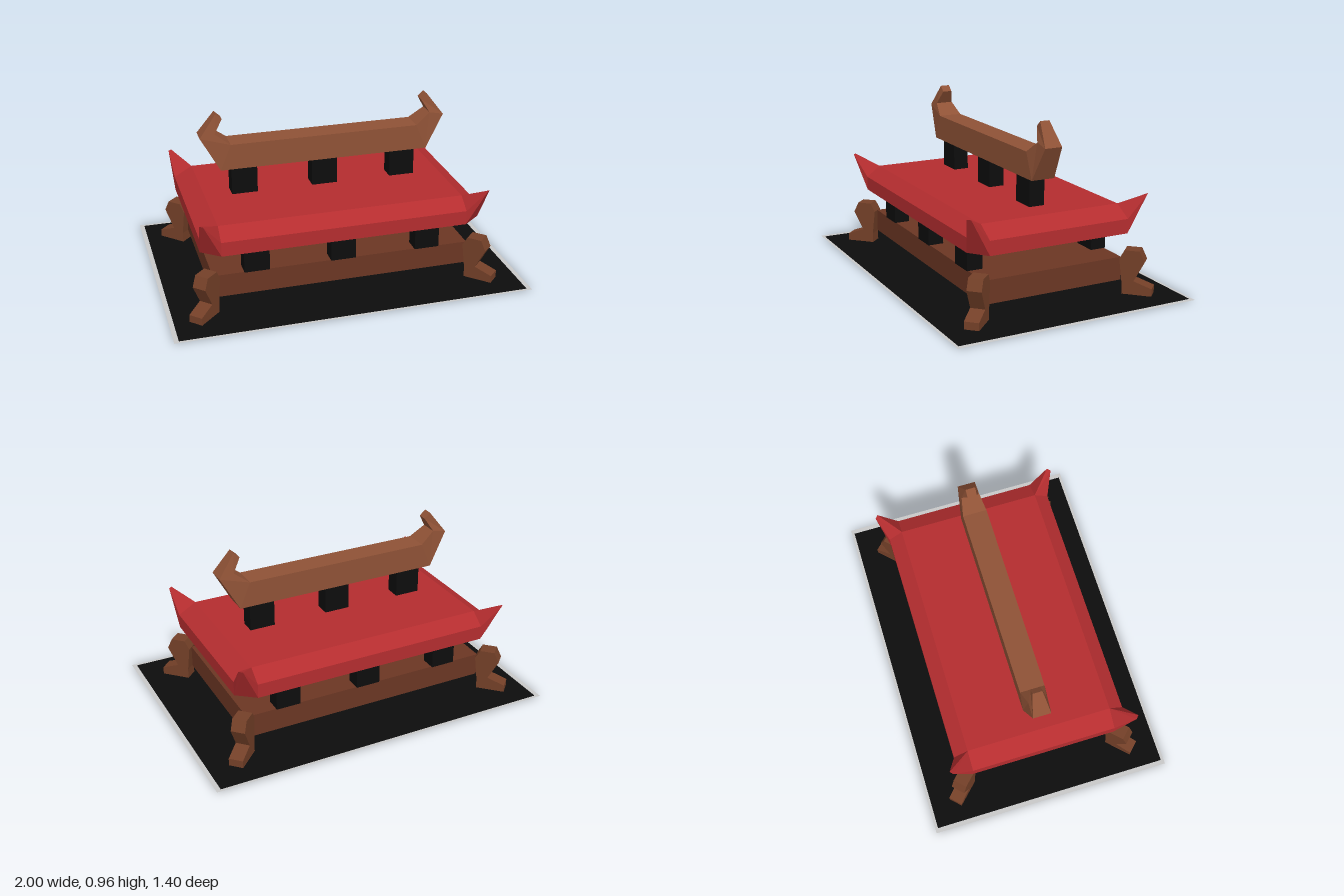
import * as THREE from 'three';

const mat = (name, color, extra = {}) => {
  const m = new THREE.MeshStandardMaterial({ color, flatShading: true, ...extra });
  m.name = name;
  return m;
};

// Flat-faced geometry from convex polygons, each a list of [x, y, z] corners
function polyGeometry(faces) {
  const pos = [];
  for (const f of faces)
    for (let i = 1; i < f.length - 1; i++) pos.push(...f[0], ...f[i], ...f[i + 1]);
  const g = new THREE.BufferGeometry();
  g.setAttribute('position', new THREE.Float32BufferAttribute(pos, 3));
  g.computeVertexNormals();
  return g;
}

// One quarter of the roof, mirrored into all four quadrants
function roofGeometry() {
  const X = 0.685, XO = 0.787, Z = 0.41, ZO = 0.49;
  const top = 0.49, mid = 0.43, low = 0.35;
  const inner = [X, top, Z], frontTop = [0, top, Z], sideTop = [X, top, 0];
  const a0 = [0, mid, ZO], a = [X, mid, ZO], b0 = [0, low, ZO], b = [X, low, ZO];
  const c0 = [XO, mid, 0], c = [XO, mid, Z], d0 = [XO, low, 0], d = [XO, low, Z];
  const t1 = [0.782, 0.555, 0.537], t2 = [0.8, 0.555, 0.52];
  const quarter = [
    [[0, top, 0], frontTop, inner, sideTop],
    [a0, a, inner, frontTop], [b0, b, a, a0],          // long eave
    [c, c0, sideTop, inner], [d, d0, c0, c],           // short eave
    [[0, low, 0], d0, d, b, b0],                       // underside
    [b, d, t2, t1], [b, t1, a], [a, t1, inner],        // upturned corner
    [d, c, t2], [c, inner, t2], [inner, t1, t2],
  ];
  const faces = [];
  for (const sx of [1, -1]) for (const sz of [1, -1])
    for (const f of quarter) {
      const m = f.map(([x, y, z]) => [x * sx, y, z * sz]);
      faces.push(sx * sz < 0 ? m.reverse() : m);
    }
  return polyGeometry(faces);
}

// Ridge beam with a hooked, tapering horn at each end
function ridgeGeometry() {
  // outer x, outer y, inner x, inner y, half depth
  const half = [
    [0.595, 0.65, 0.535, 0.795, 0.068],
    [0.7, 0.84, 0.618, 0.858, 0.05],
    [0.606, 0.965, 0.572, 0.934, 0.027],
  ];
  const ring = ([ox, oy, ix, iy, h], s) =>
    [[s * ox, oy, h], [s * ix, iy, h], [s * ix, iy, -h], [s * ox, oy, -h]];
  const rings = [...half.slice().reverse().map(p => ring(p, -1)), ...half.map(p => ring(p, 1))];
  const faces = [rings[0], rings[rings.length - 1].slice().reverse()];
  for (let i = 0; i < rings.length - 1; i++)
    for (let k = 0; k < 4; k++) {
      const n = (k + 1) % 4;
      faces.push([rings[i][k], rings[i + 1][k], rings[i + 1][n], rings[i][n]]);
    }
  return polyGeometry(faces);
}

// Side profile of a corner foot, running inward from its toe
function footGeometry() {
  const profile = [[0, 0.003], [0, 0.045], [0.07, 0.08], [0.03, 0.19], [0.05, 0.25],
    [0.108, 0.25], [0.127, 0.2], [0.115, 0.06], [0.115, 0.003]];
  const shape = new THREE.Shape(profile.map(([t, y]) => new THREE.Vector2(-t * Math.SQRT2, y)));
  const w = 0.08;
  return new THREE.ExtrudeGeometry(shape, { depth: w, bevelEnabled: false }).translate(0, 0, -w / 2);
}

export function createModel() {
  const red = mat('roof red', 0xb42d2f);
  const lightBrown = mat('ridge brown', 0x8f5236);
  const footBrown = mat('foot brown', 0x744028);
  const darkBrown = mat('base brown', 0x6b3623);
  const black = mat('black', 0x0d0d0d, { side: THREE.DoubleSide });
  const grey = mat('border grey', 0xc8c8c8, { side: THREE.DoubleSide });

  const model = new THREE.Group();
  model.name = 'pavilion';
  const add = (parent, name, geo, material, x = 0, y = 0, z = 0) => {
    const m = new THREE.Mesh(geo, material);
    m.name = name;
    m.position.set(x, y, z);
    parent.add(m);
    return m;
  };

  // Ground sheet with a thin border
  const rect = (P, w, h) => new P([[-w, -h], [w, -h], [w, h], [-w, h]].map(p => new THREE.Vector2(...p)));
  const border = rect(THREE.Shape, 1, 0.7);
  border.holes.push(rect(THREE.Path, 0.974, 0.684));
  add(model, 'groundBorder', new THREE.ShapeGeometry(border).rotateX(-Math.PI / 2), grey);
  add(model, 'groundSheet', new THREE.PlaneGeometry(1.948, 1.368).rotateX(-Math.PI / 2), black);

  const building = new THREE.Group();
  building.name = 'building';
  building.position.x = -0.0145;
  model.add(building);

  // Base and its four diagonal feet
  add(building, 'base', new THREE.BoxGeometry(1.45, 0.13, 0.834), darkBrown, 0, 0.135, 0);
  const foot = footGeometry();
  for (const sx of [1, -1]) for (const sz of [1, -1])
    add(building, 'foot', foot, footBrown, sx * 0.847, 0, sz * 0.545)
      .rotation.y = Math.atan2(-sz, sx);

  // Pillars below the roof and below the ridge
  const lower = new THREE.BoxGeometry(0.14, 0.15, 0.09);
  const upper = new THREE.BoxGeometry(0.145, 0.16, 0.09);
  for (const i of [-1, 0, 1]) {
    for (const sz of [1, -1]) add(building, 'lowerPillar', lower, black, i * 0.484, 0.275, sz * 0.38);
    add(building, 'upperPillar', upper, black, i * 0.46, 0.57, 0);
  }

  add(building, 'roof', roofGeometry(), red);
  add(building, 'ridgeBeam', ridgeGeometry(), lightBrown);
  return model;
}
